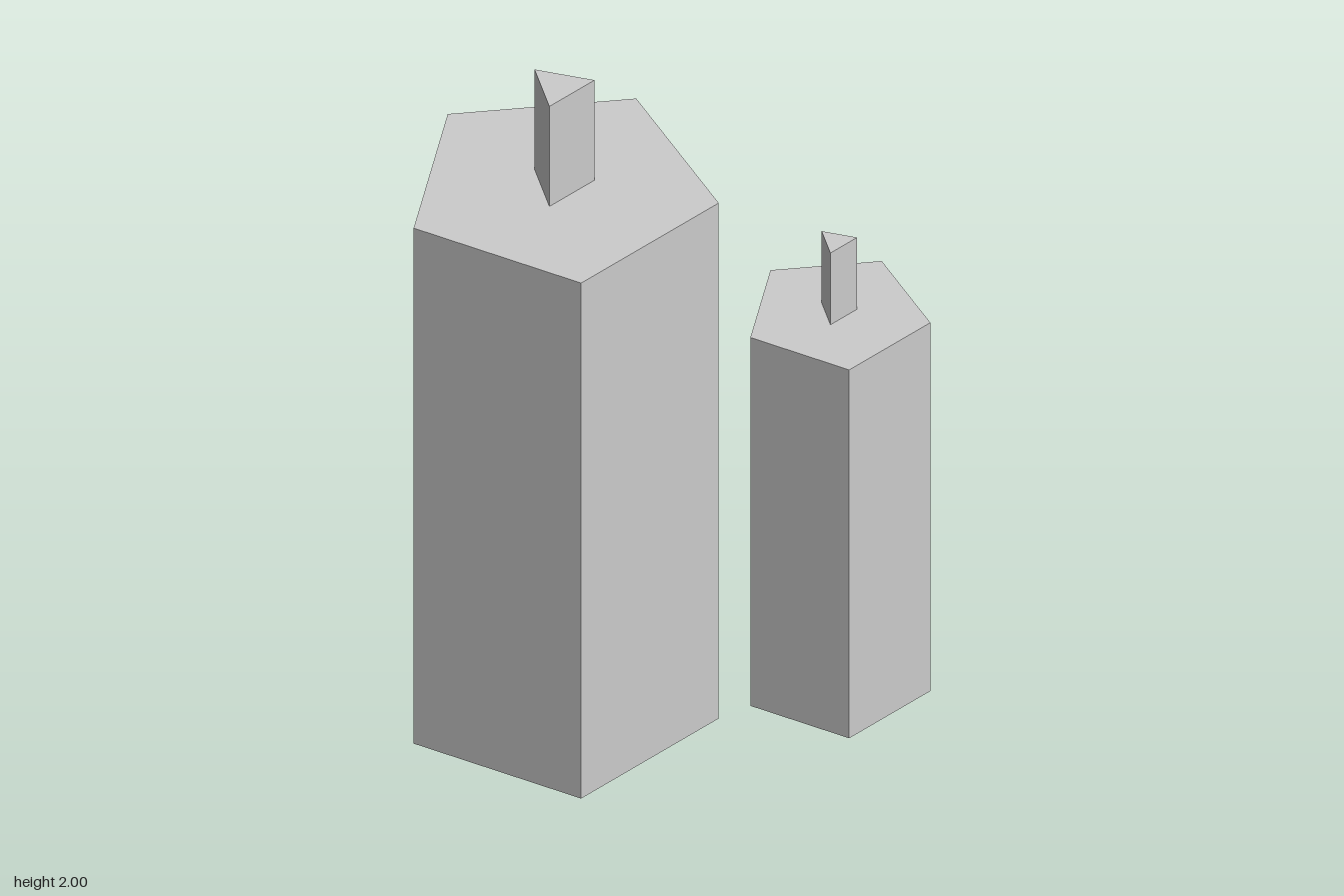
import * as THREE from 'three';

const material = new THREE.MeshStandardMaterial({ color: 0xcccccc, flatShading: true });

// Upright prism with one corner pointing to the back
function prism(name, radius, sides, bottom, top) {
  const geometry = new THREE.CylinderGeometry(radius, radius, top - bottom, sides, 1, false, Math.PI);
  const mesh = new THREE.Mesh(geometry, material);
  mesh.name = name;
  mesh.position.y = (bottom + top) / 2;
  return mesh;
}

// Five-sided wax body with a three-sided wick on top
function candle(name, x, z, radius, waxTop, wickRadius, wickTop) {
  const group = new THREE.Group();
  group.name = name;
  group.position.set(x, 0, z);
  group.add(
    prism('wax', radius, 5, 0, waxTop),
    prism('wick', wickRadius, 3, waxTop, wickTop)
  );
  return group;
}

export function createModel() {
  const model = new THREE.Group();
  model.name = 'candles';
  model.add(
    candle('largeCandle', -0.208, -0.107, 0.417, 1.675, 0.093, 2),
    candle('smallCandle', 0.367, 0.324, 0.246, 1.197, 0.055, 1.43)
  );
  return model;
}
